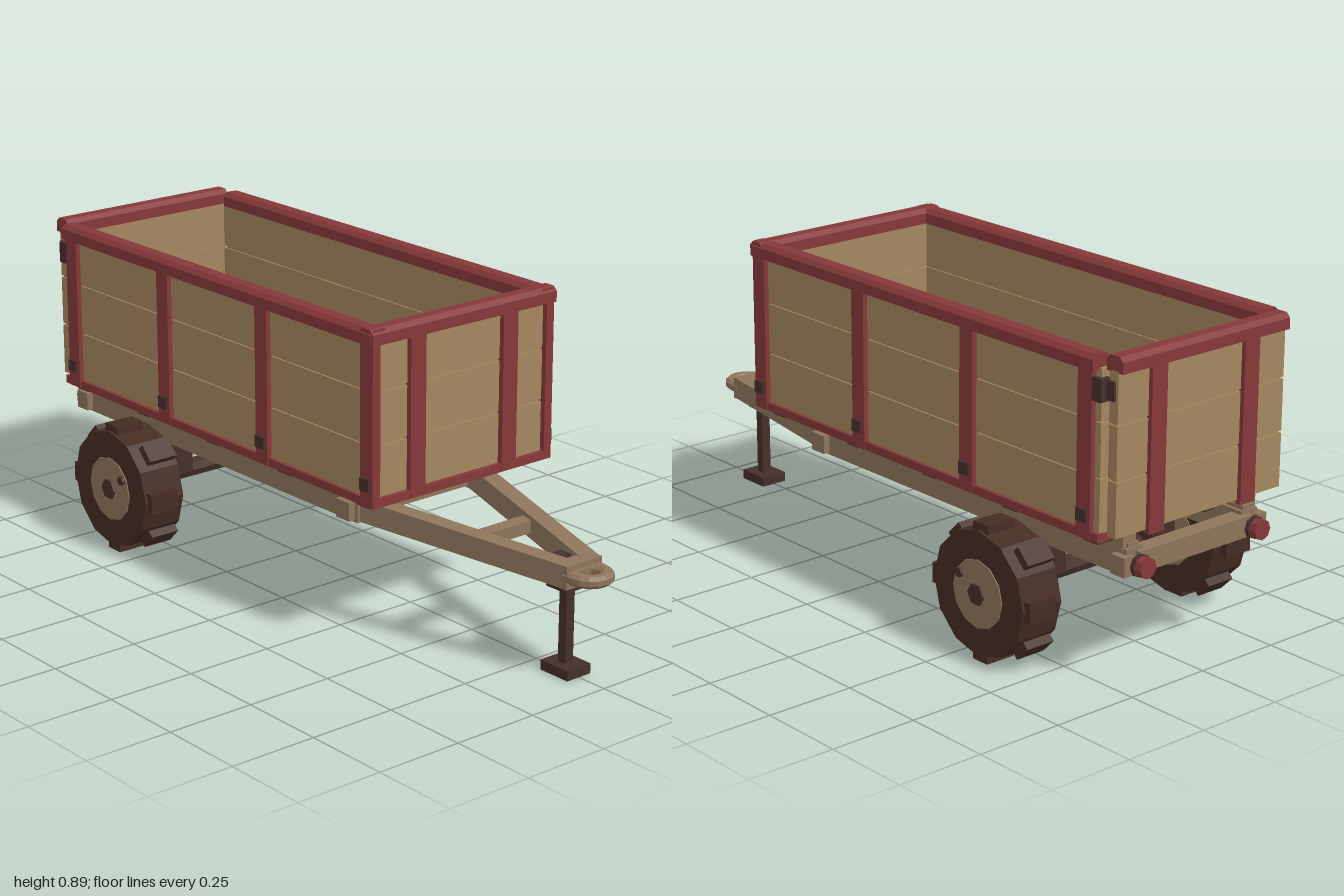
import * as THREE from 'three';

export function createModel() {
  const root = new THREE.Group();
  const paint = (name, color) => {
    const m = new THREE.MeshStandardMaterial({ color });
    m.name = name;
    return m;
  };
  const wood = paint('wall wood', 0xa5865f);
  const floorWood = paint('floor wood', 0x94703e);
  const red = paint('red paint', 0x853838);
  const tan = paint('frame paint', 0x8e745c);
  const rubber = paint('tyre rubber', 0x452d23);
  const iron = paint('dark iron', 0x46302a);

  const group = (name, parent = root) => {
    const g = new THREE.Group();
    g.name = name;
    parent.add(g);
    return g;
  };
  const add = (parent, name, geo, mat) => {
    const m = new THREE.Mesh(geo, mat);
    m.name = name;
    parent.add(m);
    return m;
  };
  // Box given by its limits on each axis
  const box = (parent, name, mat, x0, x1, y0, y1, z0, z1) => {
    const m = add(parent, name, new THREE.BoxGeometry(Math.abs(x1 - x0), y1 - y0, Math.abs(z1 - z0)), mat);
    m.position.set((x0 + x1) / 2, (y0 + y1) / 2, (z0 + z1) / 2);
    return m;
  };
  // Square beam from one point to another
  const beam = (parent, name, mat, a, b, w, h) => {
    const m = add(parent, name, new THREE.BoxGeometry(w, h, a.distanceTo(b)), mat);
    m.position.copy(a).lerp(b, 0.5);
    m.lookAt(b);
    return m;
  };
  // Cylinder lying along x (or z)
  const rod = (parent, name, mat, r, len, sides, x, y, z, alongZ) => {
    const geo = new THREE.CylinderGeometry(r, r, len, sides).toNonIndexed();
    geo.computeVertexNormals();
    alongZ ? geo.rotateX(Math.PI / 2) : geo.rotateZ(Math.PI / 2);
    const m = add(parent, name, geo, mat);
    m.position.set(x, y, z);
    return m;
  };
  // Chamfered rail along z, starting at z = 0
  const railGeo = (w, h, len) => {
    const c = 0.012, s = new THREE.Shape();
    s.moveTo(-w / 2, 0).lineTo(w / 2, 0).lineTo(w / 2, h - c).lineTo(w / 2 - c, h);
    s.lineTo(-w / 2 + c, h).lineTo(-w / 2, h - c).closePath();
    return new THREE.ExtrudeGeometry(s, { depth: len, bevelEnabled: false });
  };
  // Three planks with a recessed core; thin along x or z
  const planks = (parent, x0, x1, z0, z1, alongX) => {
    const edges = [0.42, 0.571, 0.716, 0.855], g = 0.003, i = 0.005;
    for (let k = 0; k < 3; k++) box(parent, 'plank', wood, x0, x1, edges[k] + g, edges[k + 1] - g, z0, z1);
    if (alongX) box(parent, 'plankCore', wood, x0 + i, x1 - i, 0.422, 0.85, z0 + i, z1 - i);
    else box(parent, 'plankCore', wood, x0 + i, x1 - i, 0.422, 0.85, z0 + i, z1 - i);
  };

  // Floor: red base, five planks and the dark joints between them
  const floor = group('floor');
  box(floor, 'floorBase', red, -0.312, 0.312, 0.405, 0.425, -0.93, 0.458);
  for (let k = -2; k <= 2; k++) {
    box(floor, 'floorPlank', floorWood, k * 0.11 - 0.052, k * 0.11 + 0.052, 0.424, 0.436, -0.93, 0.42);
  }
  for (const x of [-0.055, 0.165]) box(floor, 'floorJoint', iron, x - 0.004, x + 0.004, 0.424, 0.43, -0.93, 0.42);

  // Subframe below the floor
  for (const s of [-1, 1]) box(floor, 'stringer', iron, s * 0.09, s * 0.122, 0.38, 0.406, -0.9, 0.4);
  for (const z of [0.39, 0.06, -0.26, -0.58, -0.88]) {
    box(floor, 'floorBearer', iron, -0.288, 0.288, 0.388, 0.406, z - 0.025, z + 0.025);
  }

  // Side walls
  for (const s of [-1, 1]) {
    const wall = group(s > 0 ? 'leftWall' : 'rightWall');
    planks(wall, s > 0 ? 0.272 : -0.302, s > 0 ? 0.302 : -0.272, -0.925, 0.445, false);
    box(wall, 'bottomRail', red, s * 0.29, s * 0.313, 0.405, 0.428, -0.93, 0.458);
    for (const z of [0.435, 0, -0.44, -0.88]) {
      box(wall, 'post', red, s * 0.29, s * 0.316, 0.406, 0.85, z - 0.025, z + 0.025);
      box(wall, 'latch', iron, s * 0.31, s * 0.325, 0.452, 0.486, z - 0.018, z + 0.018);
    }
    box(wall, 'hinge', iron, s * 0.285, s * 0.316, 0.77, 0.83, -0.937, -0.902);
    const rail = add(wall, 'topRail', railGeo(0.058, 0.041, 1.375), red);
    rail.position.set(s * 0.294, 0.845, -0.915);
  }

  // Front wall
  const front = group('frontWall');
  planks(front, -0.295, 0.295, 0.415, 0.445, true);
  box(front, 'bottomRail', red, -0.313, 0.313, 0.405, 0.428, 0.43, 0.459);
  for (const s of [-1, 1]) {
    box(front, 'post', red, s * 0.135, s * 0.187, 0.41, 0.85, 0.44, 0.46);
    box(front, 'cornerPost', red, s * 0.29, s * 0.316, 0.406, 0.85, 0.41, 0.46);
  }
  const frontRail = add(front, 'topRail', railGeo(0.056, 0.042, 0.64), red);
  frontRail.rotation.y = Math.PI / 2;
  frontRail.position.set(-0.32, 0.845, 0.437);

  // Tailgate
  const gate = group('tailgate');
  planks(gate, -0.29, 0.29, -0.97, -0.94, true);
  for (const s of [-1, 1]) {
    box(gate, 'post', red, s * 0.135, s * 0.187, 0.412, 0.86, -0.982, -0.965);
    box(gate, 'hingePlate', iron, s * 0.285, s * 0.297, 0.775, 0.825, -0.962, -0.93);
  }
  const gateRail = add(gate, 'topRail', railGeo(0.056, 0.042, 0.58), red);
  gateRail.rotation.y = Math.PI / 2;
  gateRail.position.set(-0.29, 0.848, -0.957);

  // Chassis
  const chassis = group('chassis');
  for (const s of [-1, 1]) {
    box(chassis, 'sideBeam', tan, s * 0.175, s * 0.232, 0.302, 0.375, -0.95, 0.3);
    box(chassis, 'beamCap', tan, s * 0.185, s * 0.222, 0.37, 0.386, -0.945, 0.3);
    box(chassis, 'bedBlock', tan, s * 0.19, s * 0.235, 0.365, 0.406, 0.2, 0.3);
    box(chassis, 'bedBlock', tan, s * 0.19, s * 0.235, 0.365, 0.406, -0.94, -0.86);
    box(chassis, 'frontPlate', tan, s * 0.22, s * 0.252, 0.308, 0.36, 0.235, 0.29);
    box(chassis, 'rearPlate', tan, s * 0.22, s * 0.252, 0.308, 0.36, -0.965, -0.915);
    rod(chassis, 'rearLight', red, 0.028, 0.035, 8, s * 0.203, 0.332, -0.9825, true);
    rod(chassis, 'lightSocket', iron, 0.031, 0.012, 8, s * 0.203, 0.332, -0.971, true);
  }
  for (const z of [0.26, -0.59, -0.94]) {
    box(chassis, 'crossMember', tan, -0.2, 0.2, 0.308, 0.365, z - 0.025, z + 0.025);
  }

  // Drawbar with coupling eye
  const drawbar = group('drawbar');
  for (const s of [-1, 1]) {
    beam(drawbar, 'drawbarArm', tan, new THREE.Vector3(s * 0.2, 0.335, 0.29), new THREE.Vector3(s * 0.037, 0.291, 0.9), 0.05, 0.062);
  }
  box(drawbar, 'drawbarBrace', tan, -0.1, 0.1, 0.295, 0.33, 0.59, 0.632);
  box(drawbar, 'nose', tan, -0.062, 0.062, 0.259, 0.322, 0.87, 0.917);
  const eye = new THREE.Shape();
  [...Array(9).keys()].forEach((k) => {
    const a = Math.PI * (k / 8), p = [Math.cos(a) * 0.064, Math.sin(a) * 0.064];
    k ? eye.lineTo(...p) : eye.moveTo(...p);
  });
  eye.lineTo(-0.064, -0.035).lineTo(0.064, -0.035).closePath();
  const hole = new THREE.Path();
  hole.absarc(0, 0, 0.028, 0, Math.PI * 2, true);
  eye.holes.push(hole);
  const eyeGeo = new THREE.ExtrudeGeometry(eye, { depth: 0.014, bevelEnabled: true, bevelThickness: 0.009, bevelSize: 0.009, bevelOffset: -0.009, bevelSegments: 1, curveSegments: 6 });
  eyeGeo.rotateX(Math.PI / 2);
  add(drawbar, 'couplingEye', eyeGeo, tan).position.set(0, 0.298, 0.936);

  // Support leg
  const leg = group('supportLeg');
  box(leg, 'legPost', iron, -0.014, 0.014, 0.02, 0.3, 0.844, 0.871);
  box(leg, 'legCollar', iron, -0.03, 0.03, 0.232, 0.262, 0.81, 0.885);
  box(leg, 'legSocket', iron, -0.025, 0.025, 0.255, 0.315, 0.805, 0.845);
  box(leg, 'legFoot', iron, -0.041, 0.041, 0, 0.028, 0.808, 0.908);

  // Axle and brackets
  const axle = group('axle');
  rod(axle, 'axleTube', iron, 0.028, 0.6, 8, 0, 0.19, -0.59);
  for (const s of [-1, 1]) box(axle, 'axleBracket', iron, s * 0.155, s * 0.238, 0.205, 0.31, -0.65, -0.53);

  // Wheels with alternating tread lugs
  for (const s of [-1, 1]) {
    const wheel = group(s > 0 ? 'leftWheel' : 'rightWheel');
    wheel.position.set(0, 0.19, -0.59);
    rod(wheel, 'tyre', rubber, 0.172, 0.13, 12, s * 0.338, 0, 0);
    for (let k = 0; k < 8; k++) {
      const a = k * Math.PI / 4;
      const lug = add(wheel, 'treadLug', new THREE.BoxGeometry(0.09, 0.04, 0.056), rubber);
      lug.position.set(s * (k % 2 ? 0.325 : 0.35), Math.cos(a) * 0.169, Math.sin(a) * 0.169);
      lug.rotation.x = a;
    }
    rod(wheel, 'rim', tan, 0.094, 0.136, 12, s * 0.338, 0, 0);
    rod(wheel, 'hubNut', iron, 0.03, 0.02, 6, s * 0.403, 0, 0);
    rod(wheel, 'valve', iron, 0.013, 0.02, 6, s * 0.405, 0.042, 0.064);
  }
  return root;
}
